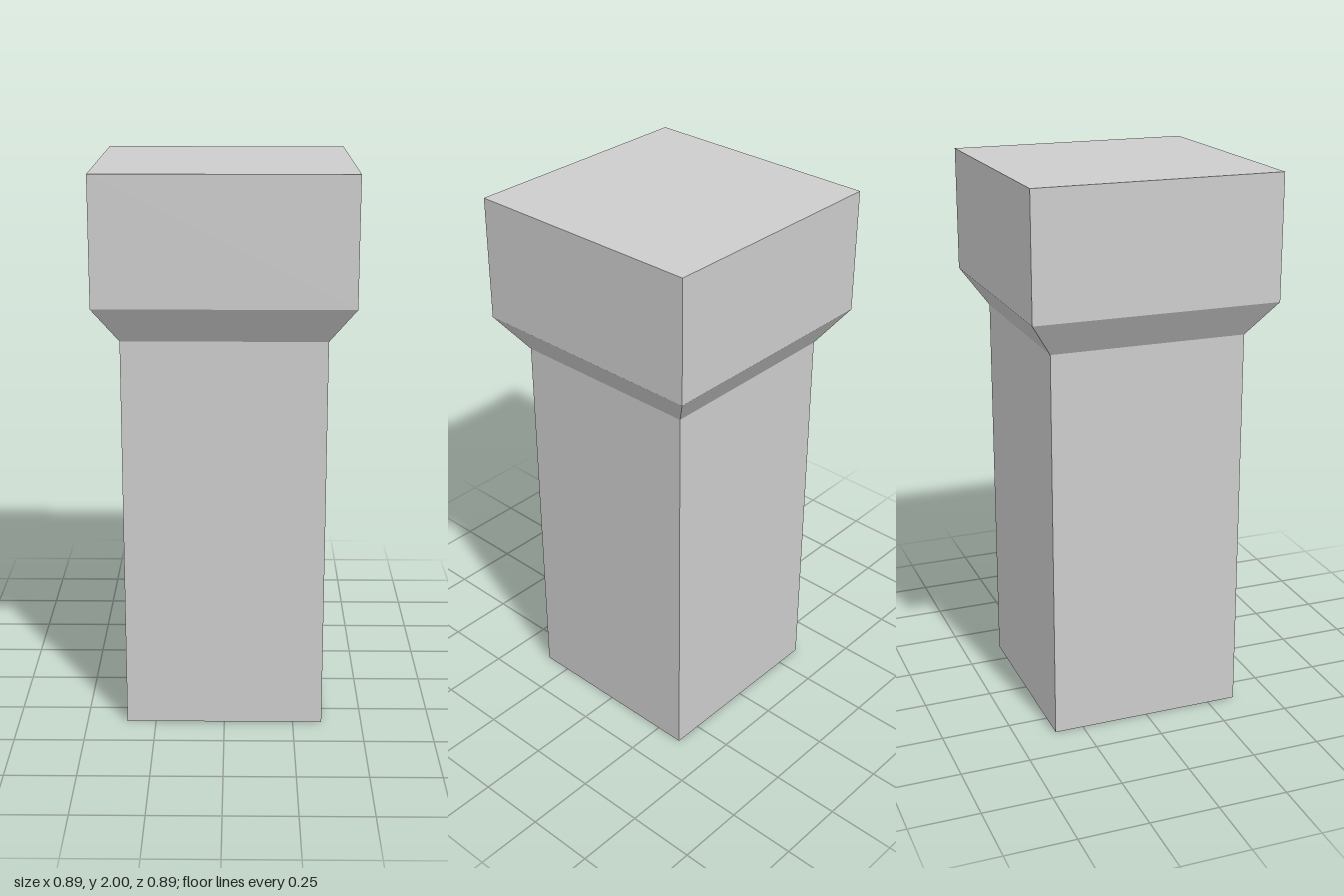
import * as THREE from 'three';

// Square solid swept from a [half-width, height] profile, with hard edges
function squareLathe(profile) {
  const points = profile.map(([w, y]) => new THREE.Vector2(w * Math.SQRT2, y));
  const geometry = new THREE.LatheGeometry(points, 4, Math.PI / 4).toNonIndexed();
  geometry.computeVertexNormals();
  return geometry;
}

export function createModel() {
  const group = new THREE.Group();
  group.name = 'pillar';
  const grey = new THREE.MeshStandardMaterial({ color: 0xcccccc });
  grey.name = 'light grey';

  const add = (name, profile) => {
    const mesh = new THREE.Mesh(squareLathe(profile), grey);
    mesh.name = name;
    group.add(mesh);
  };

  const shaft = 0.355, cap = 0.444, socket = 0.343;

  // Socket recessed into the underside, with a thin rim
  add('socket', [[0, 0.31], [socket, 0.31], [socket, 0], [shaft, 0]]);
  // Straight shaft
  add('shaft', [[shaft, 0], [shaft, 1.427]]);
  // Flare widening to the cap
  add('flare', [[shaft, 1.427], [cap, 1.556]]);
  // Square cap with a flat top
  add('cap', [[cap, 1.556], [cap, 2], [0, 2]]);

  return group;
}
